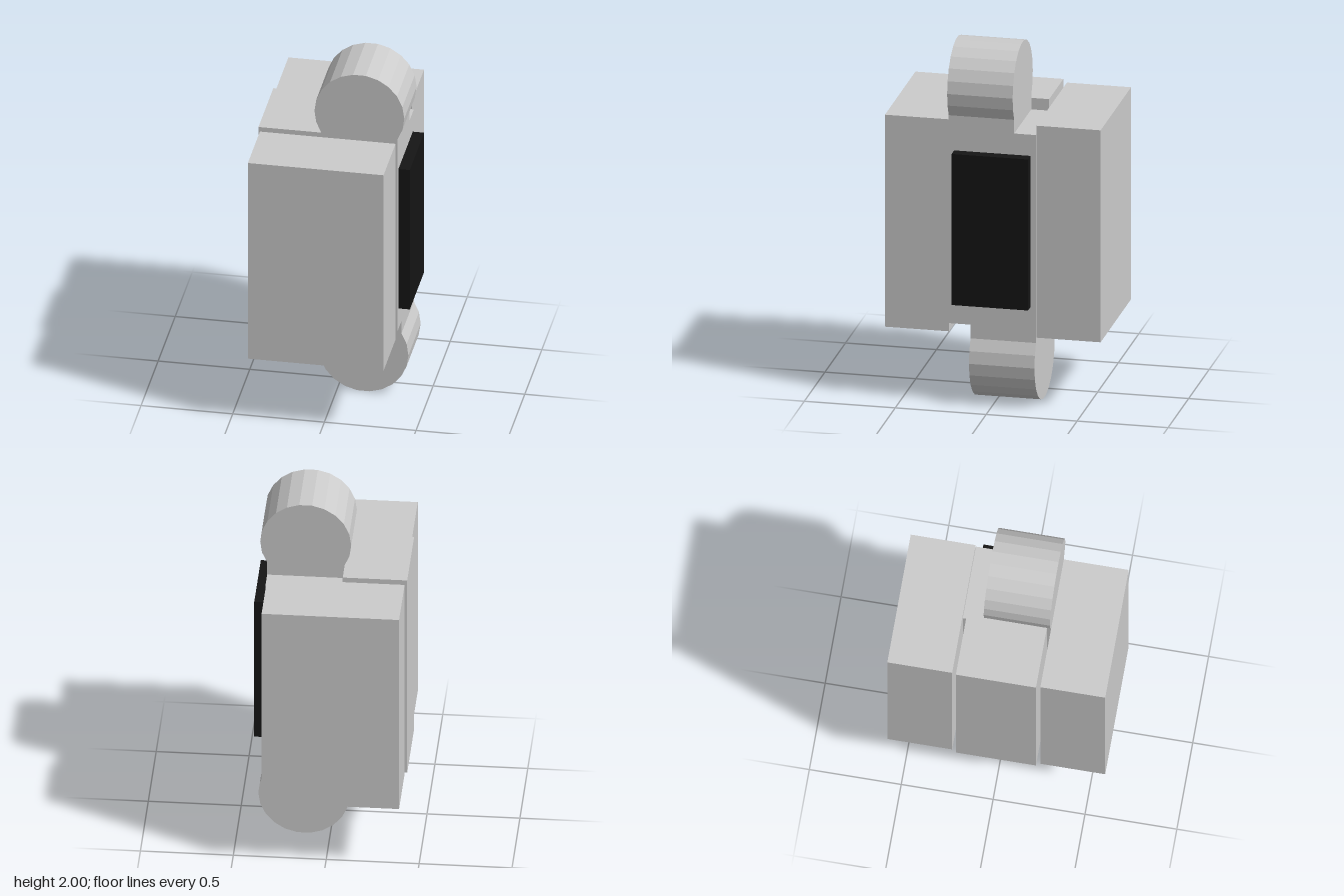
import * as THREE from 'three';

const grey = new THREE.MeshStandardMaterial({ color: 0xcccccc, flatShading: true });
const black = new THREE.MeshStandardMaterial({ color: 0x151515, flatShading: true });

// Box given by its minimum and maximum corners
function box(name, min, max, material = grey) {
  const size = max.map((v, i) => v - min[i]);
  const mesh = new THREE.Mesh(new THREE.BoxGeometry(...size), material);
  mesh.position.set(...max.map((v, i) => (v + min[i]) / 2));
  mesh.name = name;
  return mesh;
}

// Round-headed tab, outlined about y = 0 at the middle of the model
function tabGeometry() {
  const cx = 0.1425, radius = 0.245, halfNeck = 0.2075, steps = 15;
  const cy = 1 - radius * 0.99;
  const sweep = Math.PI - Math.asin(halfNeck / radius);
  const points = [
    new THREE.Vector2(cx - halfNeck, 0.55),
    new THREE.Vector2(cx + halfNeck, 0.55),
  ];
  for (let i = 0; i <= steps; i++) {
    const a = sweep * (1 - (2 * i) / steps);
    points.push(new THREE.Vector2(cx + radius * Math.sin(a), cy + radius * Math.cos(a)));
  }
  const geometry = new THREE.ExtrudeGeometry(new THREE.Shape(points), { depth: 0.36, bevelEnabled: false });
  return geometry.translate(0, 0, -0.12);
}

export function createModel() {
  const model = new THREE.Group();
  model.name = 'connector';

  // Outer blocks on either side of the core
  model.add(box('frontBlock', [-0.4, 0.4, 0.24], [0.34, 1.6, 0.593]));
  model.add(box('backBlock', [-0.4, 0.4, -0.593], [0.34, 1.6, -0.24]));

  // Core, inner block and dark side plate
  model.add(box('core', [-0.065, 0.45, -0.24], [0.35, 1.55, 0.24]));
  model.add(box('innerBlock', [-0.412, 0.395, -0.218], [-0.065, 1.615, 0.218]));
  model.add(box('sidePlate', [0.35, 0.575, -0.21], [0.412, 1.43, 0.21], black));

  // Offset tabs: the lower one is the upper one turned half way about x
  const geometry = tabGeometry();
  ['upperTab', 'lowerTab'].forEach((name, i) => {
    const tab = new THREE.Mesh(geometry, grey);
    tab.name = name;
    tab.position.y = 1;
    tab.rotation.x = i * Math.PI;
    model.add(tab);
  });

  return model;
}
